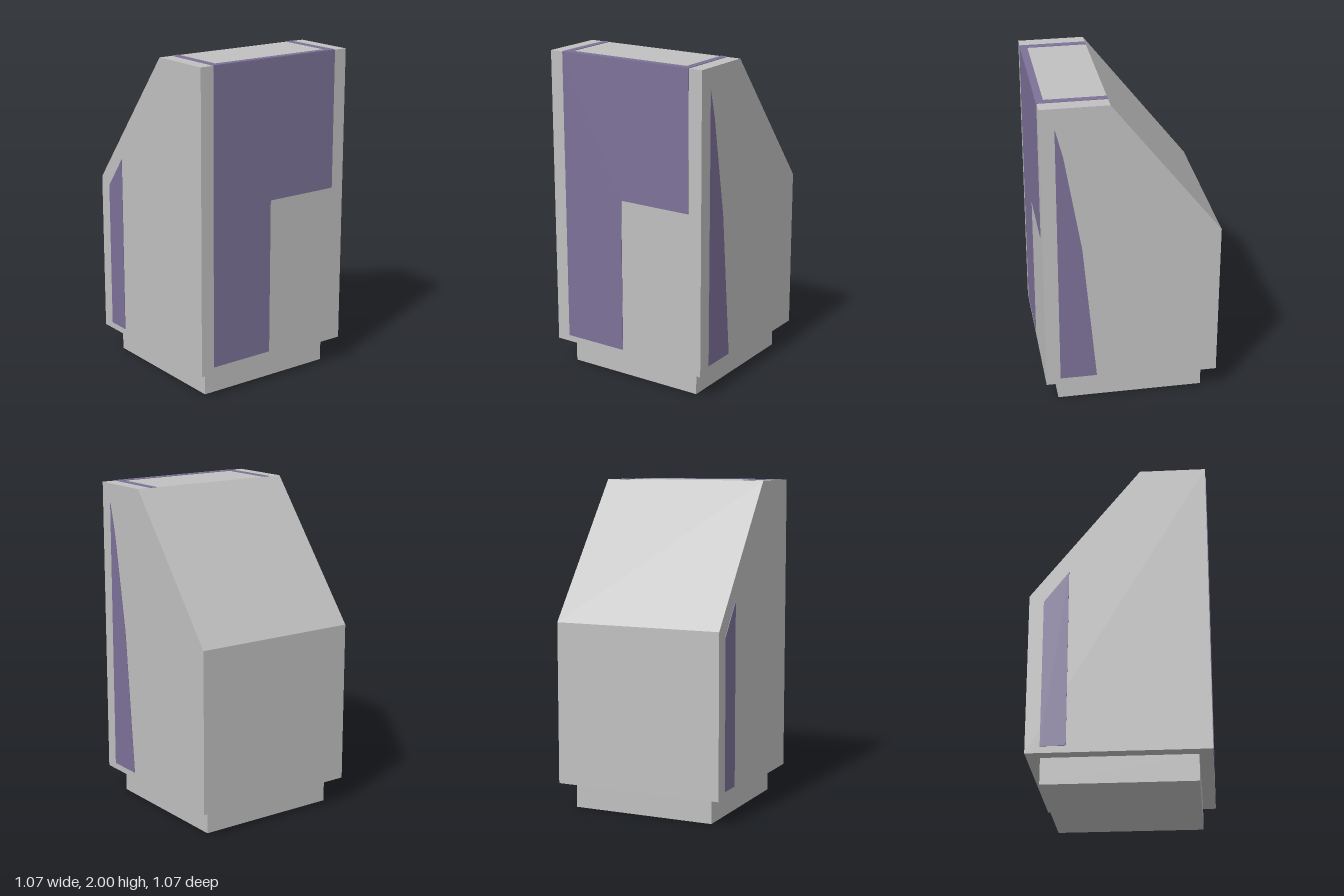
import * as THREE from 'three';

const HALF = 0.532;   // half width of the body
const THICK = 0.003;  // thickness of the inlaid panels

// Extrude an outline of [x, y] points along +z
function slab(points, depth) {
  const shape = new THREE.Shape(points.map(([x, y]) => new THREE.Vector2(x, y)));
  return new THREE.ExtrudeGeometry(shape, { depth, bevelEnabled: false });
}

export function createModel() {
  const group = new THREE.Group();
  const grey = new THREE.MeshStandardMaterial({ color: 0xc0c0c0 });
  grey.name = 'lightGrey';
  const purple = new THREE.MeshStandardMaterial({ color: 0x7d7299 });
  purple.name = 'mutedPurple';

  const add = (name, geometry, material) => {
    const mesh = new THREE.Mesh(geometry, material);
    mesh.name = name;
    group.add(mesh);
    return mesh;
  };

  // Recessed square plinth
  add('plinth', new THREE.BoxGeometry(0.906, 0.16, 0.906).translate(0, 0.08, 0), grey);

  // Tower with one sloping roof side
  const profile = [[-HALF, 0.16], [HALF, 0.16], [HALF, 2], [0.13, 2], [-HALF, 1.155]];
  add('towerBody', slab(profile, HALF * 2).translate(0, 0, -HALF), grey);

  // Stepped panel on the tall side; outline x runs along -z
  const side = [[-0.445, 0.2], [-0.03, 0.2], [-0.03, 1.155], [0.445, 1.155], [0.445, 2], [-0.445, 2]];
  add('sidePanel', slab(side, THICK).rotateY(Math.PI / 2).translate(HALF, 0, 0), purple);

  // Narrow slanted panel on the front
  const front = [[-0.445, 0.2], [-0.297, 0.2], [-0.297, 1.31], [-0.445, 1.115]];
  add('frontPanel', slab(front, THICK).translate(0, 0, HALF), purple);

  // Tapering panel on the back
  const back = [[0.22, 0.2], [0.445, 0.2], [0.445, 1.88], [0.4, 1.7], [0.3, 1.1]];
  add('backPanel', slab(back, THICK).translate(0, 0, -HALF - THICK), purple);

  // U-shaped strip on the flat top
  const strip = [[0.13, -0.445], [HALF, -0.445], [HALF, 0.445], [0.13, 0.445],
    [0.13, 0.403], [0.49, 0.403], [0.49, -0.403], [0.13, -0.403]];
  add('topStrip', slab(strip, THICK).rotateX(-Math.PI / 2).translate(0, 2, 0), purple);

  return group;
}
